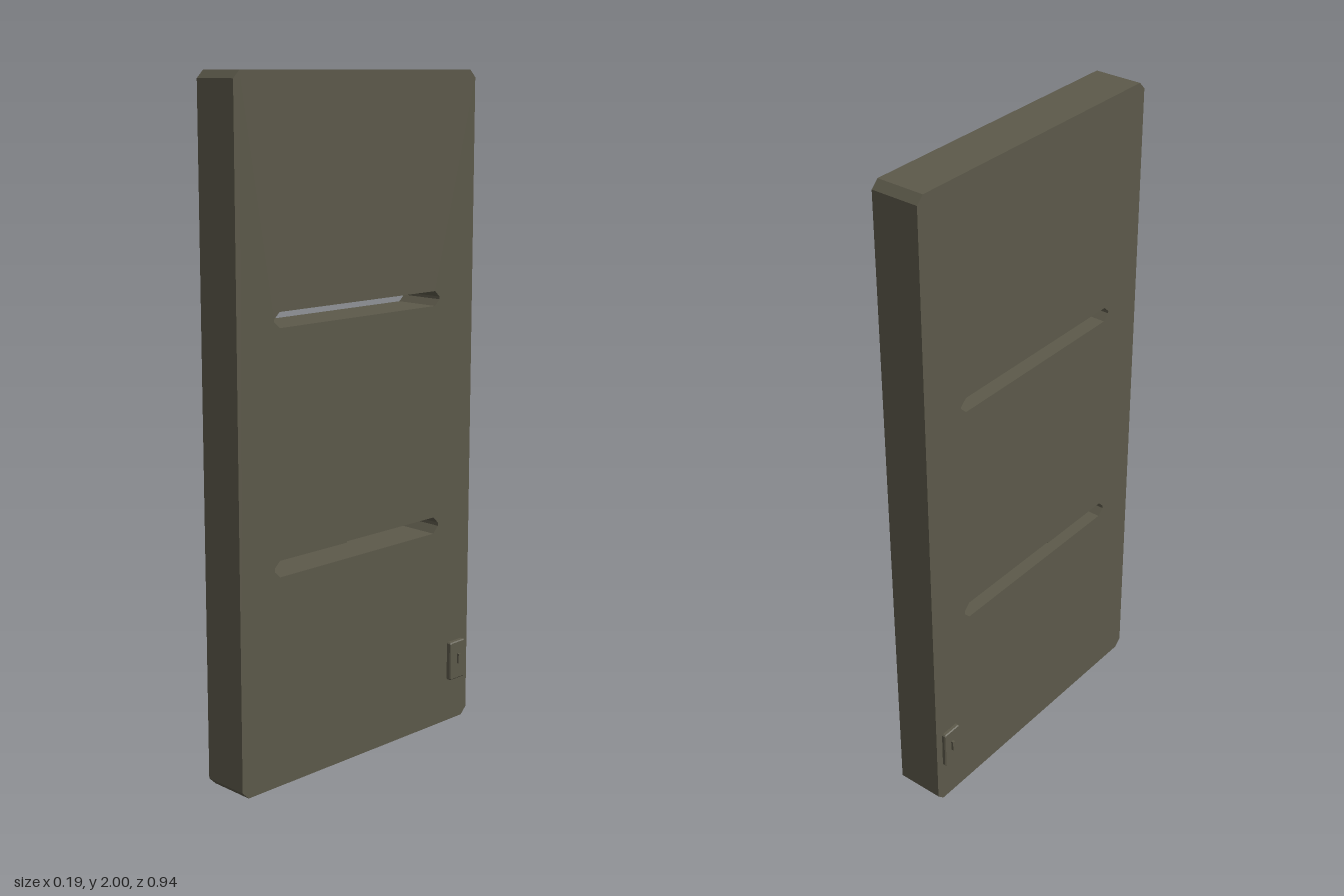
import * as THREE from 'three';

export function createModel() {
  const group = new THREE.Group();
  const olive = new THREE.MeshStandardMaterial({ color: 0x5c594a });
  olive.name = 'olive grey';

  const trace = (target, points) => {
    points.forEach(([x, y], i) => (i ? target.lineTo(x, y) : target.moveTo(x, y)));
    target.closePath();
    return target;
  };
  // Rectangle with cut corners
  const chamfered = (x0, x1, y0, y1, cx, cy) => [
    [x0 + cx, y0], [x1 - cx, y0], [x1, y0 + cy], [x1, y1 - cy],
    [x1 - cx, y1], [x0 + cx, y1], [x0, y1 - cy], [x0, y0 + cy],
  ];
  const add = (name, geometry) => {
    const mesh = new THREE.Mesh(geometry, olive);
    mesh.name = name;
    group.add(mesh);
    return mesh;
  };

  // Slab: side profile (profile x runs towards the back) with two through slots
  const profile = trace(new THREE.Shape(), chamfered(-0.468, 0.468, 0, 2, 0.022, 0.022));
  profile.holes.push(
    trace(new THREE.Path(), chamfered(-0.334, 0.324, 1.318, 1.362, 0.02, 0.018)),
    trace(new THREE.Path(), [
      [-0.32, 0.619], [0.308, 0.621], [0.328, 0.642], [0.328, 0.652],
      [0.308, 0.672], [-0.06, 0.671], [-0.06, 0.667], [-0.32, 0.667],
      [-0.34, 0.648], [-0.34, 0.638],
    ]),
  );
  const slab = new THREE.ExtrudeGeometry(profile, { depth: 0.145, bevelEnabled: false });
  slab.rotateY(Math.PI / 2).translate(-0.0745, 0, 0);
  add('slab', slab);

  // Latch plate and tab on each face, near the lower back corner
  for (const side of [1, -1]) {
    const name = side > 0 ? 'left' : 'right';
    const face = side > 0 ? 0.0705 : -0.0745;
    const outer = side > 0 ? 0.0855 : -0.0865;
    const tip = side > 0 ? 0.093 : -0.094;
    const width = Math.abs(outer - face);

    const outline = trace(new THREE.Shape(), chamfered(-0.03, 0.03, -0.058, 0.058, 0.002, 0.002));
    const plate = new THREE.ExtrudeGeometry(outline, {
      depth: width - 0.003, bevelThickness: 0.003, bevelSize: 0.003, bevelSegments: 1,
    });
    plate.rotateY(side * Math.PI / 2);
    add(name + 'LatchPlate', plate).position.set(face, 0.196, -0.41);

    const tab = new THREE.BoxGeometry(Math.abs(tip - face), 0.032, 0.009);
    add(name + 'LatchTab', tab).position.set((face + tip) / 2, 0.201, -0.412);
  }
  return group;
}
